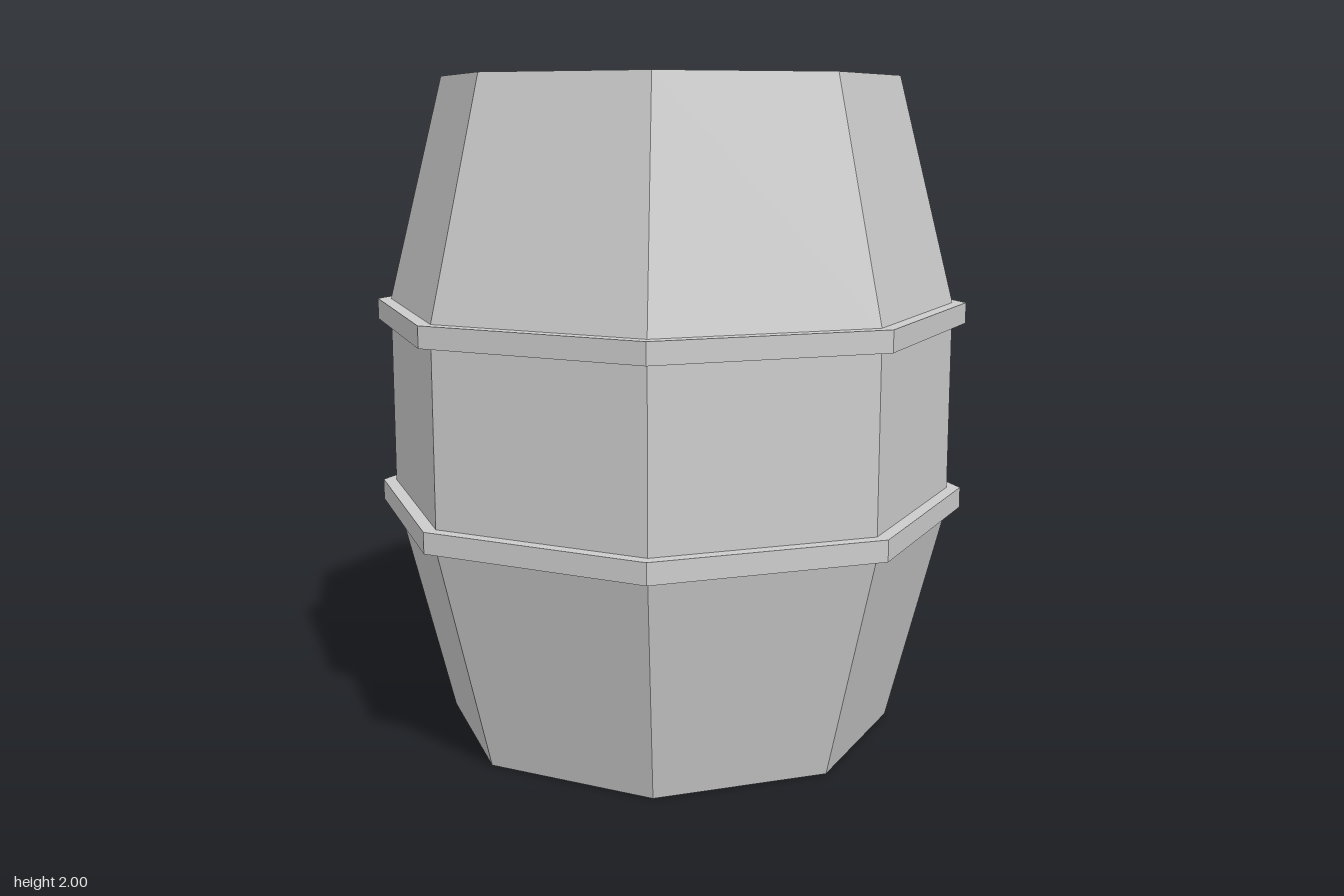
import * as THREE from 'three';

const material = new THREE.MeshStandardMaterial({ color: 0xcccccc, flatShading: true });

// Eight-sided turned part from [radius, height] pairs, listed bottom to top on the outside
function turned(name, profile) {
  const points = profile.map(([r, y]) => new THREE.Vector2(r, y));
  const geometry = new THREE.LatheGeometry(points, 8).toNonIndexed();
  geometry.computeVertexNormals();
  const mesh = new THREE.Mesh(geometry, material);
  mesh.name = name;
  return mesh;
}

export function createModel() {
  const barrel = new THREE.Group();
  barrel.name = 'barrel';

  const end = 0.692, belly = 0.866, rim = 0.613, recess = 0.04;
  const low = 0.68, high = 1.32;

  // Staves with a raised rim at both ends
  barrel.add(turned('staves', [
    [rim, recess], [rim, 0], [end, 0], [belly, low],
    [belly, high], [end, 2], [rim, 2], [rim, 2 - recess],
  ]));

  // Recessed heads
  barrel.add(turned('bottomHead', [[0, recess], [rim, recess]]));
  barrel.add(turned('topHead', [[rim, 2 - recess], [0, 2 - recess]]));

  // Hoops
  const hoopRadius = 0.907, hoopHeight = 0.063;
  [['lowerHoop', low + 0.002], ['upperHoop', high - 0.061]].forEach(([name, y]) => {
    barrel.add(turned(name, [
      [belly - 0.02, y], [hoopRadius, y],
      [hoopRadius, y + hoopHeight], [belly - 0.02, y + hoopHeight],
    ]));
  });

  return barrel;
}
